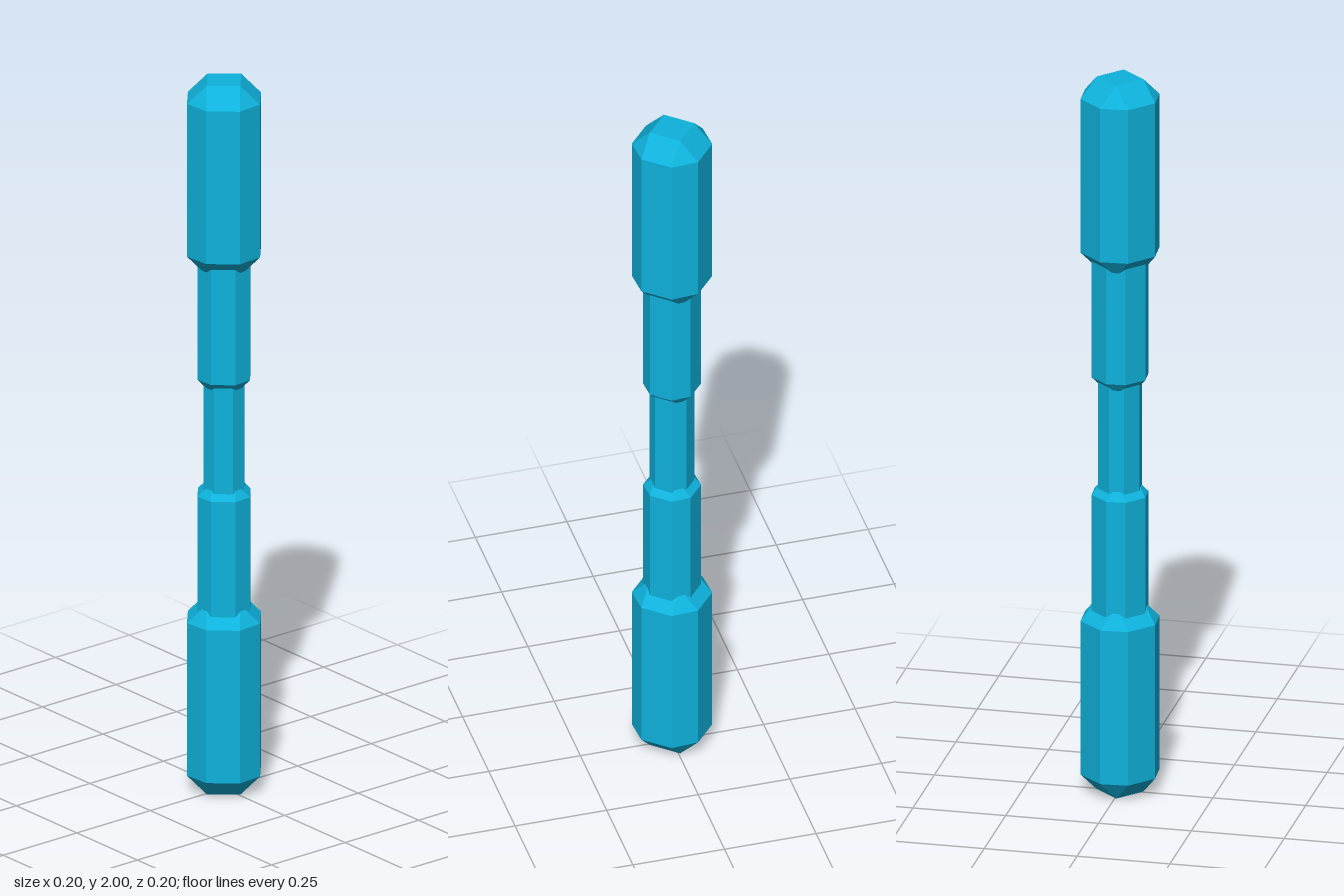
import * as THREE from 'three';
import { ConvexGeometry } from 'three/addons/geometries/ConvexGeometry.js';

// Square bar with broadly bevelled edges and triangular corner cuts.
// half: half the width, bevel: size of the cut, y0..y1: full height range
function bevelledBar(half, bevel, y0, y1) {
  const inner = half - bevel;
  const points = [];
  for (const sx of [-1, 1]) for (const sz of [-1, 1]) {
    for (const [end, dir] of [[y0, 1], [y1, -1]]) {
      points.push(
        new THREE.Vector3(sx * inner, end, sz * inner),
        new THREE.Vector3(sx * half, end + dir * bevel, sz * inner),
        new THREE.Vector3(sx * inner, end + dir * bevel, sz * half),
      );
    }
  }
  return new ConvexGeometry(points);
}

export function createModel() {
  const model = new THREE.Group();
  model.name = 'staff';
  const blue = new THREE.MeshStandardMaterial({ color: 0x0eb2dc });
  blue.name = 'bright blue';

  const add = (name, half, bevel, y0, y1) => {
    const mesh = new THREE.Mesh(bevelledBar(half, bevel, y0, y1), blue);
    mesh.name = name;
    mesh.rotation.y = THREE.MathUtils.degToRad(49);
    model.add(mesh);
  };

  // Slim grip in the middle
  add('grip', 0.053, 0.028, 0.79, 1.21);

  // Stepped sleeves and thick ends, mirrored about mid height
  add('lowerSleeve', 0.069, 0.037, 0.43, 0.872);
  add('upperSleeve', 0.069, 0.037, 1.128, 1.57);
  add('lowerEnd', 0.096, 0.052, 0, 0.535);
  add('upperEnd', 0.096, 0.052, 1.465, 2);

  return model;
}
